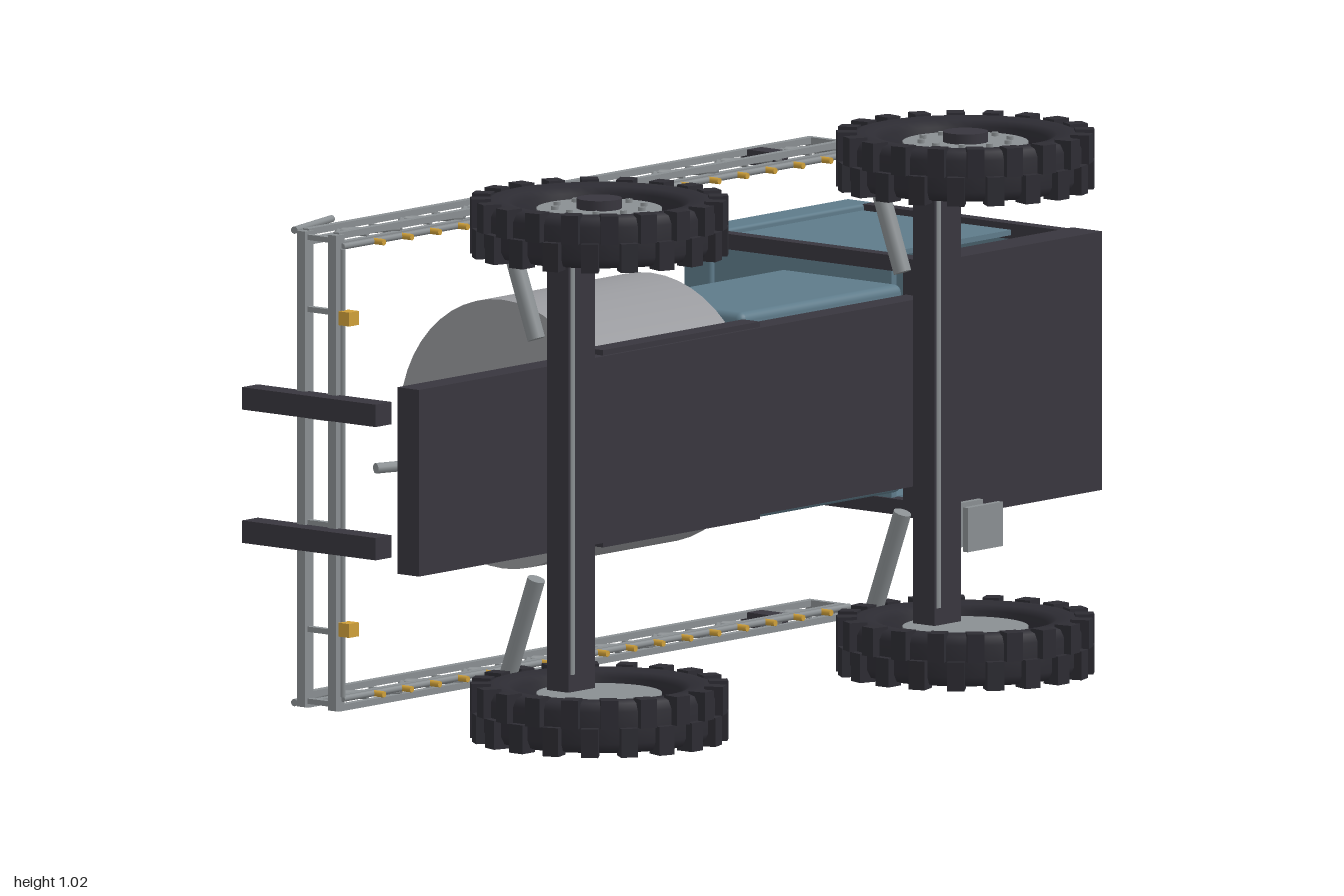
import * as THREE from 'three';
import { RoundedBoxGeometry } from 'three/addons/geometries/RoundedBoxGeometry.js';

const mat = (name, color, side = THREE.FrontSide) => {
  const m = new THREE.MeshStandardMaterial({ color, side });
  m.name = name;
  return m;
};

export function createModel() {
  const blue = mat('blue paint', 0x5e7b8a);
  const frame = mat('dark frame', 0x38363e);
  const rubber = mat('tyre rubber', 0x2d2c33);
  const steel = mat('steel', 0x8a8f92);
  const tankGrey = mat('tank grey', 0x98999d);
  const amber = mat('amber', 0xcfa03a);

  // Vehicle frame: x forward, y up, z sideways; laid on its side at the end
  const vehicle = new THREE.Group();
  vehicle.name = 'sprayer';

  const add = (name, geo, m, x = 0, y = 0, z = 0, parent = vehicle) => {
    const mesh = new THREE.Mesh(geo, m);
    mesh.name = name;
    mesh.position.set(x, y, z);
    parent.add(mesh);
    return mesh;
  };
  const box = (name, m, x0, x1, y0, y1, z0, z1, parent) =>
    add(name, new THREE.BoxGeometry(x1 - x0, y1 - y0, z1 - z0), m,
      (x0 + x1) / 2, (y0 + y1) / 2, (z0 + z1) / 2, parent);
  const rod = (name, m, a, b, r, sides = 10, parent) => {
    const p = new THREE.Vector3(...a), q = new THREE.Vector3(...b);
    const d = q.clone().sub(p);
    const mesh = add(name, new THREE.CylinderGeometry(r, r, d.length(), sides), m, 0, 0, 0, parent);
    mesh.position.copy(p).add(q).multiplyScalar(0.5);
    mesh.quaternion.setFromUnitVectors(new THREE.Vector3(0, 1, 0), d.normalize());
    return mesh;
  };
  // Disc with its axis across the vehicle
  const disc = (name, m, r, width, x, y, z, parent, sides = 32) => {
    const mesh = add(name, new THREE.CylinderGeometry(r, r, width, sides), m, x, y, z, parent);
    mesh.rotation.x = Math.PI / 2;
    return mesh;
  };

  // Chassis and cab platform
  box('chassis', frame, -0.955, 0.52, -0.112, -0.06, -0.175, 0.175);
  box('cabPlatform', frame, 0.5, 0.985, -0.125, -0.053, -0.2425, 0.2425);
  for (const s of [1, -1])
    box('chassisRail', frame, -0.42, 0.03, -0.105, -0.063, s * 0.179 - 0.006, s * 0.179 + 0.006);

  // Tank with filler cap
  const tank = add('tank', new THREE.CylinderGeometry(0.252, 0.252, 0.425, 48), tankGrey, -0.193, 0.15, 0);
  tank.rotation.z = Math.PI / 2;
  disc('tankCap', frame, 0.055, 0.05, -0.195, 0.408, 0);

  // Engine hood with grille on one side
  add('hood', new RoundedBoxGeometry(0.465, 0.295, 0.39, 3, 0.015), blue, 0.2625, 0.0875, 0);
  for (let i = 0; i < 10; i++) {
    const x = 0.17 + i * 0.0225;
    box('grilleSlat', frame, x, x + 0.013, 0.03, 0.16, -0.202, -0.193);
  }

  // Cab: posts, glazing, roof, seat
  for (const s of [1, -1]) {
    for (const x of [0.512, 0.945])
      box('cabPost', frame, x, x + 0.027, -0.06, 0.425, s * 0.228 - 0.0145, s * 0.228 + 0.0145);
    box('sideWindow', blue, 0.555, 0.925, 0.045, 0.405, s * 0.23 - 0.005, s * 0.23 + 0.005);
  }
  box('windscreen', blue, 0.95, 0.965, -0.01, 0.425, -0.214, 0.214);
  box('rearWindow', blue, 0.518, 0.532, -0.01, 0.425, -0.214, 0.214);
  add('roof', new RoundedBoxGeometry(0.47, 0.067, 0.486, 2, 0.006), blue, 0.742, 0.4535, 0);
  box('visorBar', blue, 0.968, 0.993, 0.372, 0.392, -0.22, 0.22);
  box('seatBase', frame, 0.63, 0.78, -0.06, 0.045, -0.102, 0.102);

  // Steps below the cab
  for (const y of [-0.178, -0.226])
    box('step', steel, 0.475, 0.575, y - 0.006, y + 0.006, -0.288, -0.205);

  // Wheel, built once around its own centre; s is the outer side
  const tyreProfile = [
    [0.152, -0.036], [0.17, -0.046], [0.2, -0.05], [0.217, -0.045], [0.225, -0.03],
    [0.225, 0.03], [0.217, 0.045], [0.2, 0.05], [0.17, 0.046], [0.152, 0.036], [0.152, -0.036],
  ].map(([r, y]) => new THREE.Vector2(r, y));
  const tyreGeo = new THREE.LatheGeometry(tyreProfile, 48);
  const lugGeo = new THREE.BoxGeometry(0.036, 0.032, 0.054);
  const makeWheel = (x, s) => {
    const wheel = new THREE.Group();
    wheel.name = 'wheel';
    wheel.position.set(x, -0.243, s * 0.4545);
    add('tyre', tyreGeo, rubber, 0, 0, 0, wheel).rotation.x = Math.PI / 2;
    const n = 20;
    for (let i = 0; i < n * 2; i++) {
      const a = (i / (n * 2)) * Math.PI * 2;
      const side = i % 2 ? 1 : -1;
      const lug = add('lug', lugGeo, rubber, Math.cos(a) * 0.221, Math.sin(a) * 0.221, side * 0.0265, wheel);
      lug.rotation.z = a;
    }
    disc('hubDisc', steel, 0.117, 0.064, 0, 0, 0, wheel);
    disc('hubCap', frame, 0.042, 0.03, 0, 0, s * 0.036, wheel, 24);
    for (let i = 0; i < 10; i++) {
      const a = (i / 10) * Math.PI * 2;
      disc('wheelBolt', steel, 0.007, 0.01, Math.cos(a) * 0.085, Math.sin(a) * 0.085, s * 0.034, wheel, 6);
    }
    vehicle.add(wheel);
  };

  // Axles, tie rods and suspension struts
  for (const x of [-0.593, 0.455]) {
    box('axle', frame, x - 0.038, x + 0.038, -0.2, -0.148, -0.425, 0.425);
    rod('tieRod', steel, [x - 0.026, -0.195, -0.39], [x - 0.026, -0.195, 0.39], 0.008);
    for (const s of [1, -1]) {
      makeWheel(x, s);
      rod('strut', steel, [x, -0.09, s * 0.225], [x, -0.015, s * 0.43], 0.017, 14);
      box('strutTop', steel, x - 0.01, x + 0.01, -0.02, 0.012, s * 0.455 - 0.009, s * 0.455 + 0.009);
    }
  }

  // Folded spray booms along both sides
  const x0 = -0.95, x1 = 0.5, bays = 16, step = (x1 - x0) / bays;
  for (const s of [1, -1]) {
    const boom = new THREE.Group();
    boom.name = 'boom';
    vehicle.add(boom);
    const c = s * 0.434;
    for (const z of [c - 0.009, c + 0.009]) {
      box('upperChord', steel, x0, x1, 0.16, 0.174, z - 0.006, z + 0.006, boom);
      box('lowerChord', steel, x0, x1, 0.086, 0.1, z - 0.006, z + 0.006, boom);
    }
    for (let i = 0; i < bays; i++) {
      const a = x0 + i * step, up = i % 2;
      rod('brace', steel, [a, up ? 0.166 : 0.094, c], [a + step, up ? 0.094 : 0.166, c], 0.006, 6, boom);
      rod('upright', steel, [a + step, 0.094, c], [a + step, 0.166, c], 0.004, 6, boom);
    }
    box('boomEnd', steel, x1 - 0.012, x1, 0.086, 0.174, c - 0.015, c + 0.015, boom);
    box('boomBracket', frame, 0.305, 0.345, 0.095, 0.176, c - 0.014, c + 0.014, boom);
    rod('sprayPipe', steel, [x0, 0.078, c - s * 0.01], [x1, 0.078, c - s * 0.01], 0.006, 8, boom);
    for (let i = 0; i < 17; i++) {
      const x = -0.86 + i * 0.08;
      rod('nozzle', amber, [x, 0.08, c - s * 0.01], [x, 0.053, c - s * 0.01], 0.006, 8, boom);
    }
    rod('foldRam', steel, [-0.95, 0.195, s * 0.443], [-0.8, 0.232, s * 0.443], 0.007, 10, boom);
  }

  // Rear boom frame, lamps and lift masts
  for (const y of [0.09, 0.165])
    box('rearRail', steel, -0.966, -0.942, y - 0.01, y + 0.01, -0.446, 0.446);
  rod('rearPipe', steel, [-0.952, 0.075, -0.42], [-0.952, 0.075, 0.42], 0.005, 8);
  for (const s of [1, -1]) {
    for (const z of [0.1, 0.3, 0.435])
      box('rearRung', steel, -0.96, -0.948, 0.09, 0.165, s * z - 0.005, s * z + 0.005);
    box('rearLamp', amber, -0.966, -0.938, 0.048, 0.074, s * 0.292 - 0.013, s * 0.292 + 0.013);
    box('liftMast', frame, -1, -0.955, -0.045, 0.28, s * 0.125 - 0.021, s * 0.125 + 0.021);
    rod('liftLink', steel, [-0.94, 0.05, s * 0.125], [-0.925, -0.01, s * 0.125], 0.01);
  }

  // Pump, motor and hoses on the rear deck
  box('pump', steel, -0.735, -0.645, -0.02, 0.035, -0.045, 0.045);
  rod('pumpMotor', frame, [-0.65, 0, 0], [-0.53, 0, 0], 0.04, 20);
  box('pumpStand', frame, -0.71, -0.55, -0.065, -0.015, -0.035, 0.035);
  rod('suctionHose', steel, [-0.54, 0, 0], [-0.4, 0.055, 0], 0.012);
  rod('pressureHose', steel, [-0.72, 0.015, 0], [-0.87, 0.065, 0], 0.01);

  vehicle.rotation.x = -Math.PI / 2;
  vehicle.position.y = 0.513;
  const model = new THREE.Group();
  model.name = 'model';
  model.add(vehicle);
  return model;
}
